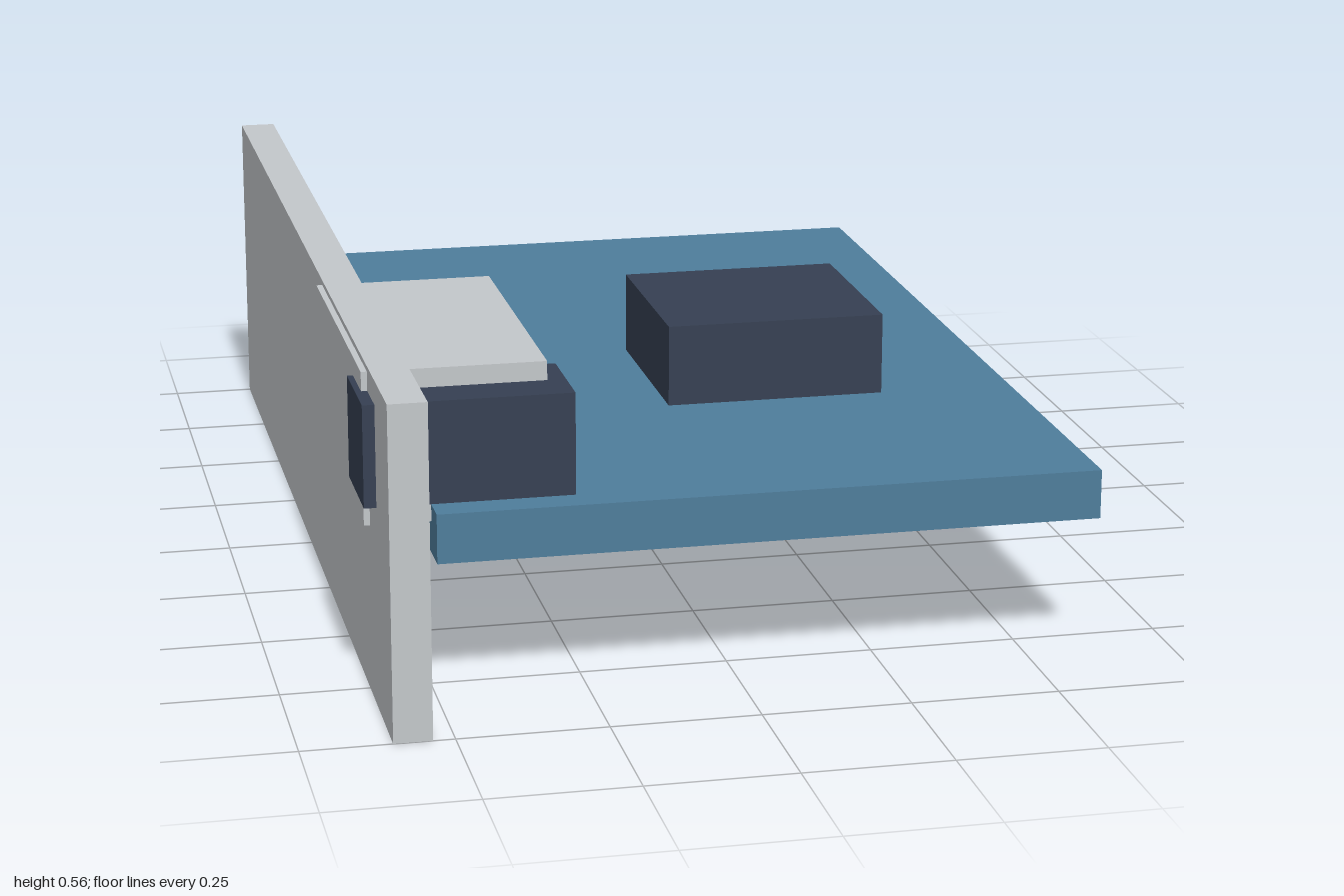
import * as THREE from 'three';

export function createModel() {
  const model = new THREE.Group();
  model.name = 'expansionCard';

  const material = (name, color) => {
    const m = new THREE.MeshStandardMaterial({ color });
    m.name = name;
    return m;
  };
  const silver = material('silver metal', 0xc3c7ca);
  const blue = material('board blue', 0x4e7d9b);
  const dark = material('dark plastic', 0x353f52);
  const gold = material('contact gold', 0xcfb478);

  // Adds a box given by its extents along each axis
  const addBox = (name, mat, [x0, x1], [y0, y1], [z0, z1], parent = model) => {
    const mesh = new THREE.Mesh(new THREE.BoxGeometry(x1 - x0, y1 - y0, z1 - z0), mat);
    mesh.position.set((x0 + x1) / 2, (y0 + y1) / 2, (z0 + z1) / 2);
    mesh.name = name;
    parent.add(mesh);
  };

  // Mounting bracket and circuit board
  addBox('bracket', silver, [-0.6, -0.536], [0, 0.56], [-1, 1]);
  addBox('circuitBoard', blue, [-0.5, 0.617], [0.238, 0.322], [-0.84, 0.84]);

  // Processor chip on the board
  addBox('chip', dark, [-0.006, 0.38], [0.322, 0.465], [-0.033, 0.33]);

  // Ports passing through the bracket
  addBox('metalPort', silver, [-0.61, -0.308], [0.293, 0.551], [0.243, 0.785]);
  addBox('darkPort', dark, [-0.62, -0.277], [0.348, 0.519], [0.693, 0.863]);

  // Row of edge contacts along the back of the board
  const contacts = new THREE.Group();
  contacts.name = 'edgeContacts';
  model.add(contacts);
  for (let i = 0; i < 10; i++) {
    const x = -0.373 + i * 0.0708;
    addBox('contact', gold, [x, x + 0.042], [0.249, 0.311], [-0.856, -0.83], contacts);
  }

  return model;
}
